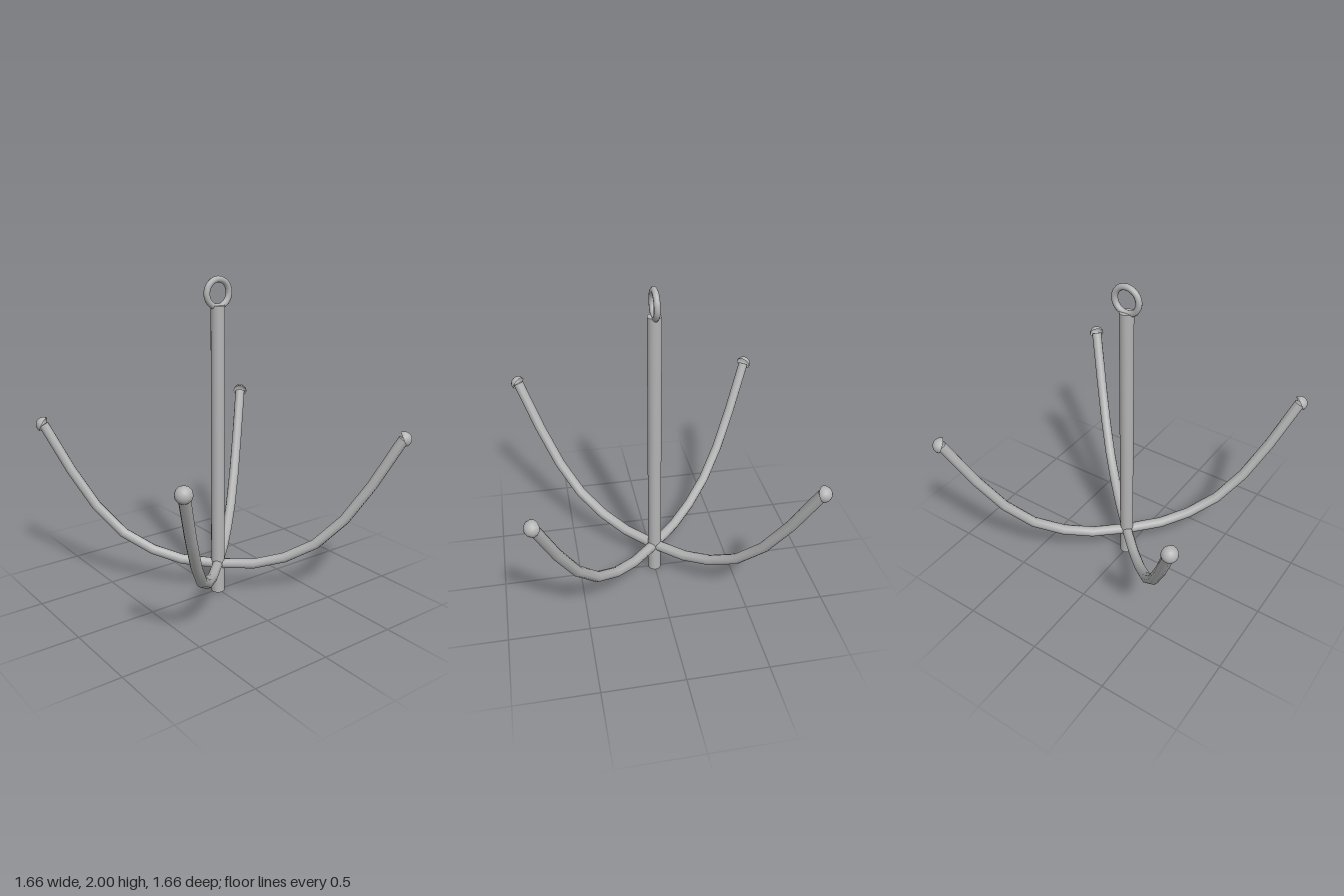
import * as THREE from 'three';

const steel = new THREE.MeshStandardMaterial({ color: 0xb4b4b4, side: THREE.DoubleSide });
steel.name = 'grey steel';

function part(name, geometry, parent) {
  const mesh = new THREE.Mesh(geometry, steel);
  mesh.name = name;
  parent.add(mesh);
  return mesh;
}

export function createModel() {
  const model = new THREE.Group();
  model.name = 'grapnel';

  // Straight shank with a ring on top
  part('shank', new THREE.CylinderGeometry(0.043, 0.043, 1.83, 16), model).position.y = 0.915;
  part('ring', new THREE.TorusGeometry(0.08, 0.019, 10, 24), model).position.y = 1.901;

  // Arm curve: distance outward and height, one tube ring per point
  const path = [[0, 0.187], [0.233, 0.2], [0.424, 0.255], [0.615, 0.36], [0.788, 0.535], [0.945, 0.77], [1.11, 1.065]];
  const curve = new THREE.CatmullRomCurve3(path.map(([x, y]) => new THREE.Vector3(x, y, 0)));
  curve.getUtoTmapping = (u) => u;
  const armGeometry = new THREE.TubeGeometry(curve, path.length - 1, 0.033, 8);

  // Half-round tip whose dome faces outward and slightly up
  const tipGeometry = new THREE.SphereGeometry(0.048, 12, 6, 0, Math.PI * 2, 0, Math.PI / 2);
  tipGeometry.rotateZ(-Math.PI / 2 + 0.42);

  // Four hooked arms on the diagonals
  for (let i = 0; i < 4; i++) {
    const hook = new THREE.Group();
    hook.name = 'hook' + (i + 1);
    hook.rotation.y = Math.PI / 4 + (i * Math.PI) / 2;
    part('arm', armGeometry, hook);
    part('tip', tipGeometry, hook).position.set(1.11, 1.065, 0);
    model.add(hook);
  }
  return model;
}
